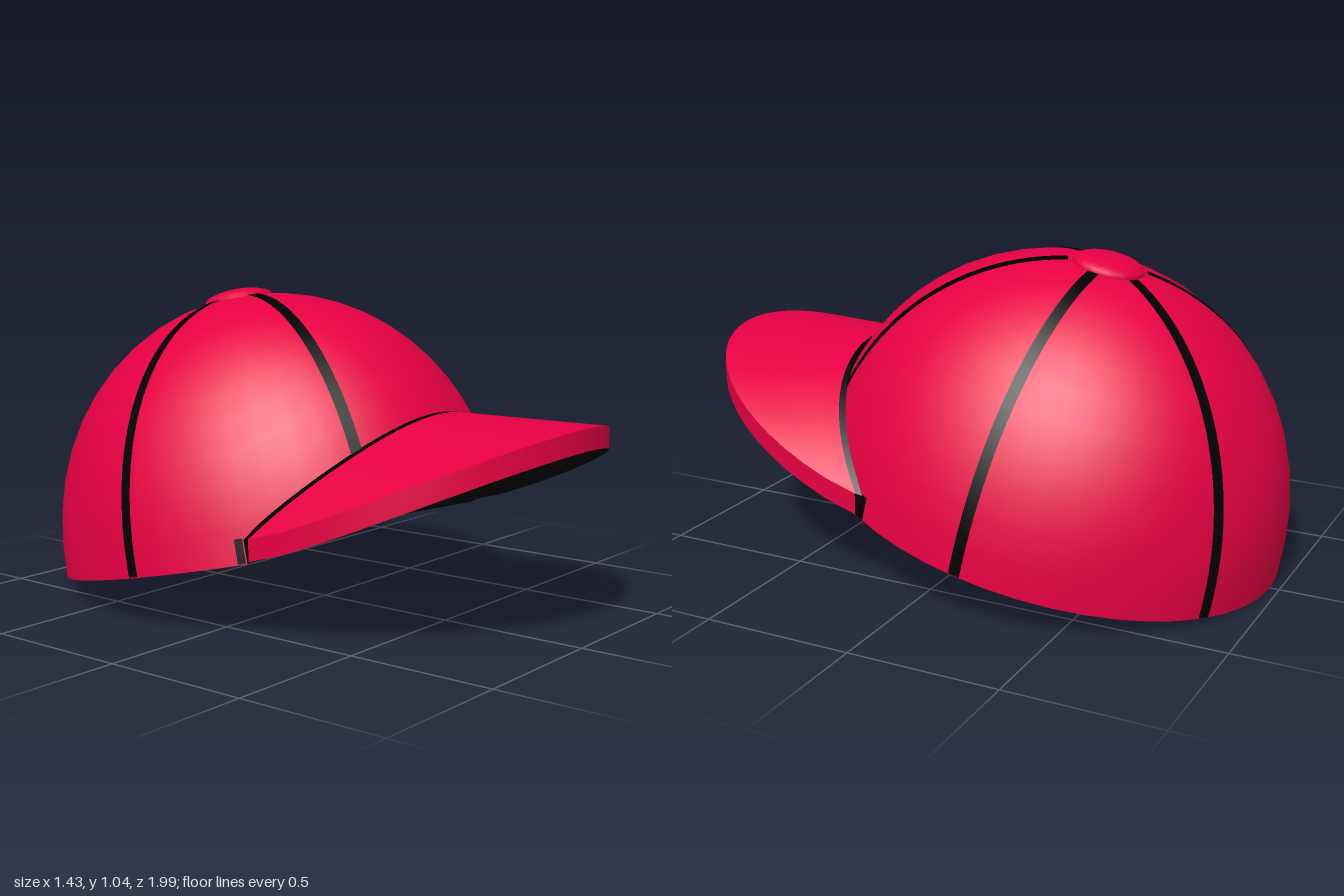
import * as THREE from 'three';
import { mergeVertices } from 'three/addons/utils/BufferGeometryUtils.js';

const TILT = 0.217, HEIGHT = 0.86, BRIM_SPAN = Math.PI / 3;
const V = (x, y, z) => new THREE.Vector3(x, y, z);

// Point on the tilted crown: phi is the angle from the front, s the height from rim (0) to top (1)
function crownPoint(phi, s) {
  const r = Math.sqrt(Math.max(0, 1 - Math.pow(Math.max(s, 0), 2.15)));
  return V(0.712 * r * Math.sin(phi), HEIGHT * s, (0.8 + 0.013 * Math.cos(phi)) * r * Math.cos(phi))
    .applyAxisAngle(V(1, 0, 0), -TILT)
    .add(V(0, 0.17, -0.2));
}

// Arch of the brim: 1 at the middle of the front, 0 at its two ends and behind them
const arch = (phi) => (Math.abs(phi) < BRIM_SPAN ? Math.cos(1.5 * phi) : 0);
const lowerEdge = (phi) => 0.32 * arch(phi);
const crownEdge = (phi) => crownPoint(phi, lowerEdge(phi));
const brimJoin = (phi) => crownPoint(phi, 0.087 + 0.323 * Math.pow(arch(phi), 0.85));

// Outer outline of the brim, whose two ends lie at height y
function brimOutline(phi, y) {
  const c = arch(phi);
  return V(0.62 * Math.sin(1.5 * phi), y + 0.34 * c, 0.2 + 0.797 * Math.pow(c, 0.85));
}
const brimTop = (phi) => brimOutline(phi, 0.335);
const brimBottom = (phi) => brimOutline(phi, 0.265);

// Line on the brim a little outside the crown
function seamEdge(phi) {
  const inner = brimJoin(phi), way = brimTop(phi).sub(inner);
  return inner.addScaledVector(way, Math.min(1, 0.022 / way.length()));
}

// Smooth sheet from fn(u, v), facing du x dv
function sheet(fn, nu, nv) {
  const pos = [], index = [];
  for (let j = 0; j <= nv; j++)
    for (let i = 0; i <= nu; i++) pos.push(...fn(i / nu, j / nv).toArray());
  for (let j = 0; j < nv; j++)
    for (let i = 0; i < nu; i++) {
      const a = j * (nu + 1) + i, d = a + nu + 1;
      index.push(a, a + 1, d + 1, a, d + 1, d);
    }
  let geo = new THREE.BufferGeometry();
  geo.setAttribute('position', new THREE.Float32BufferAttribute(pos, 3));
  geo.setIndex(index);
  geo = mergeVertices(geo, 1e-5);
  geo.computeVertexNormals();
  return geo;
}

// Straight loft between two curves over the angles -span to span
const loft = (from, to, span, nu, nv) => sheet((u, v) => {
  const phi = (u * 2 - 1) * span;
  return from(phi).lerp(to(phi), v);
}, nu, nv);

// Thin upright tape lying on the crown at angle phi, from t0 to t1 up the profile
function tape(phi, t0, t1, halfWidth, steps) {
  const e = 0.002;
  return sheet((u, w) => {
    const s = Math.sin(t0 + (t1 - t0) * u);
    const up = crownPoint(phi, s + e).sub(crownPoint(phi, s - e)).normalize();
    const around = crownPoint(phi + e, s).sub(crownPoint(phi - e, s));
    const normal = around.cross(up).normalize();
    const side = normal.clone().cross(up);
    return crownPoint(phi, s).addScaledVector(normal, 0.0025).addScaledVector(side, (w * 2 - 1) * halfWidth);
  }, steps, 1);
}

export function createModel() {
  const cap = new THREE.Group();
  cap.name = 'cap';
  const red = new THREE.MeshStandardMaterial({ color: 0xe60043 });
  red.name = 'crimson cloth';
  const black = new THREE.MeshStandardMaterial({ color: 0x000000 });
  black.name = 'black trim';
  const add = (name, geo, mat, parent = cap) => {
    const mesh = new THREE.Mesh(geo, mat);
    mesh.name = name;
    parent.add(mesh);
    return mesh;
  };

  // Crown, cut away at the front beneath the brim, and the black panel closing it below
  add('crown', sheet((u, v) => {
    const phi = (u * 2 - 1) * Math.PI;
    const t0 = Math.asin(lowerEdge(phi));
    return crownPoint(phi, Math.sin(t0 + (Math.PI / 2 - t0) * v));
  }, 48, 12), red);
  add('crownUnderside', loft(() => V(0, 0.2, -0.13), crownEdge, Math.PI, 48, 4), black);

  // Six panel seams
  const seams = new THREE.Group();
  seams.name = 'seams';
  cap.add(seams);
  for (const deg of [-150, -90, -30, 30, 90, 150]) {
    const phi = THREE.MathUtils.degToRad(deg);
    add('panelSeam', tape(phi, Math.asin(lowerEdge(phi)) + 0.004, 1.41, 0.019, 24), black, seams);
  }

  // Brim: arched top, outer edge and black underside
  const brim = new THREE.Group();
  brim.name = 'brim';
  cap.add(brim);
  add('brimTop', loft(brimTop, seamEdge, BRIM_SPAN, 32, 4), red, brim);
  add('brimEdge', loft(brimBottom, brimTop, BRIM_SPAN, 32, 1), red, brim);
  add('brimUnderside', loft(crownEdge, brimBottom, BRIM_SPAN, 32, 4), black, brim);

  // Seam where the brim meets the crown, with an upright closing each end
  add('brimSeam', loft(seamEdge, brimJoin, BRIM_SPAN, 32, 1), black, seams);
  for (const side of [-1, 1]) {
    const phi = side * BRIM_SPAN;
    add('brimEnd', sheet((u, v) => {
      const inward = side > 0 ? u : 1 - u;
      const outer = brimBottom(phi).lerp(brimTop(phi), v);
      return outer.lerp(crownPoint(phi, 0).lerp(brimJoin(phi), v), inward);
    }, 1, 1), black, seams);
    add('brimEndSeam', tape(side * 1.068, 0.004, 0.094, 0.013, 2), black, seams);
  }

  // Button on top of the crown
  const button = add('button', new THREE.SphereGeometry(0.12, 20, 10), red);
  button.scale.y = 0.32;
  button.rotation.x = -TILT;
  button.position.copy(crownPoint(0, 0.988).setX(0).setZ(crownPoint(0, 1).z));
  button.position.y = crownPoint(0, 1).y - 0.011;

  return cap;
}
